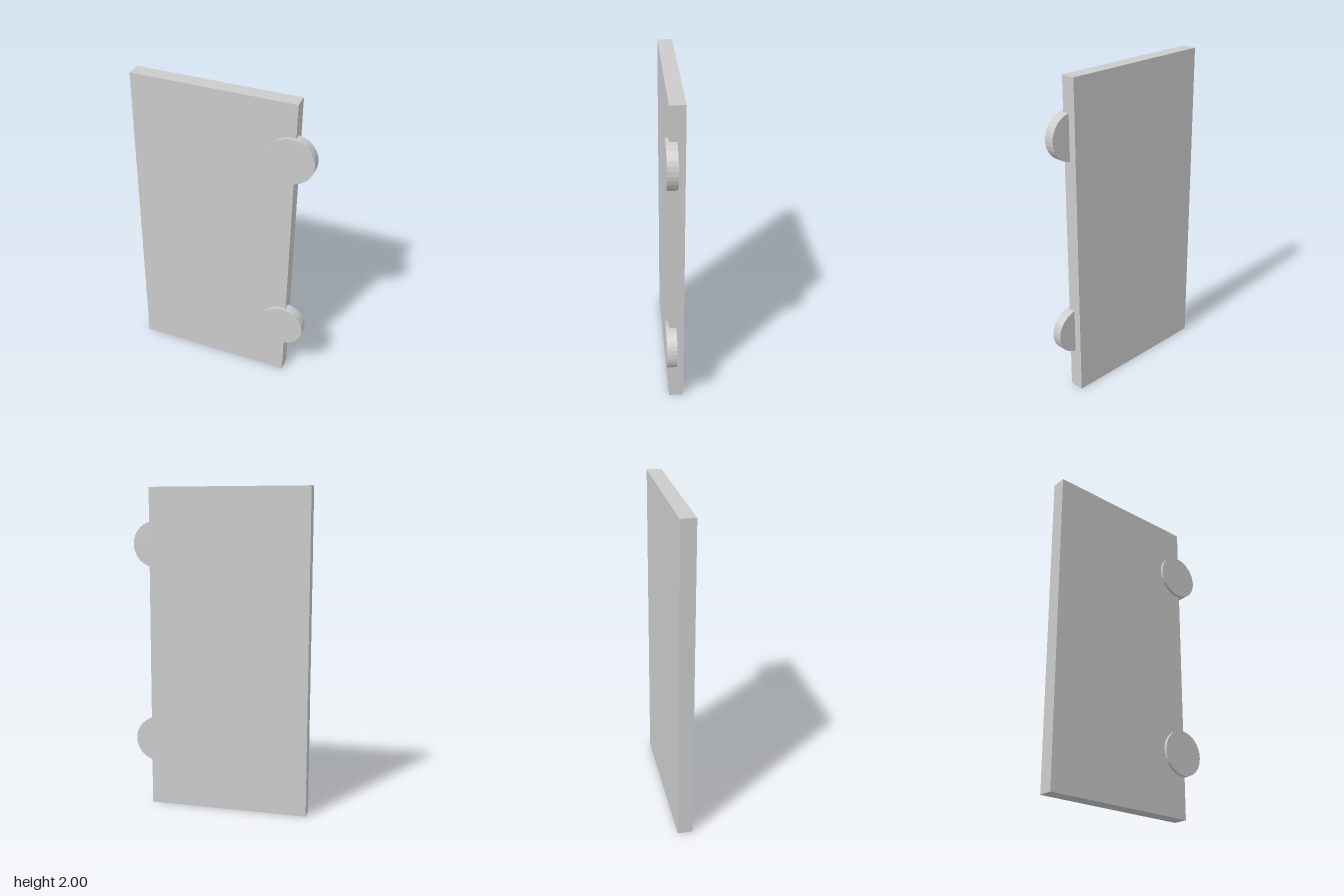
import * as THREE from 'three';

export function createModel() {
  const model = new THREE.Group();
  const material = new THREE.MeshStandardMaterial({ color: 0xcccccc, flatShading: true });

  // Upright door panel
  const panel = new THREE.Mesh(new THREE.BoxGeometry(0.997, 2, 0.091), material);
  panel.name = 'doorPanel';
  panel.position.set(-0.0605, 1, -0.0095);
  model.add(panel);

  // Round hinge cups, sunk into the front and overhanging the left edge
  const cupGeometry = new THREE.CylinderGeometry(0.143, 0.143, 0.063, 32).rotateX(Math.PI / 2);
  for (const [name, y] of [['lowerHingeCup', 0.407], ['upperHingeCup', 1.653]]) {
    const cup = new THREE.Mesh(cupGeometry, material);
    cup.name = name;
    cup.position.set(0.416, y, 0.0235);
    model.add(cup);
  }

  return model;
}
